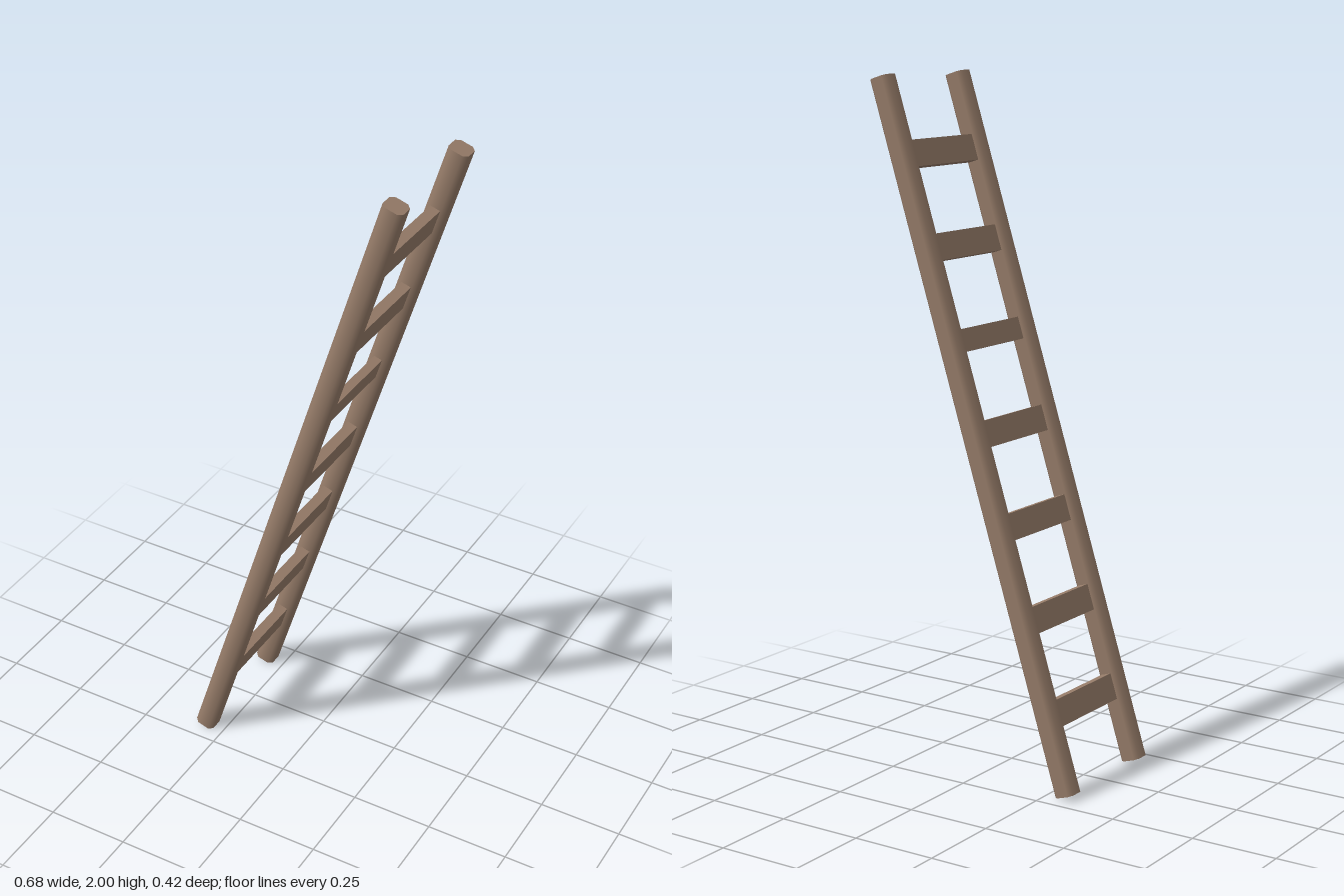
import * as THREE from 'three';

const LEAN = 0.305;      // tilt towards +x
const LENGTH = 2.077;
const RAIL_Z = 0.181;

// Pole with a square section whose corners are bevelled, smooth along its sides
function railGeometry() {
  const geo = new THREE.CylinderGeometry(1, 1, LENGTH, 8, 1, false, Math.PI / 8);
  const pos = geo.attributes.position;
  const place = (v) => Math.sign(v) * (Math.abs(v) > 0.6 ? 0.0307 : Math.abs(v) > 0.1 ? 0.0183 : 0);
  for (let i = 0; i < pos.count; i++) {
    pos.setX(i, place(pos.getX(i)));
    pos.setZ(i, place(pos.getZ(i)));
  }
  return geo;
}

export function createModel() {
  const wood = new THREE.MeshStandardMaterial({ name: 'brown wood', color: 0x967c69 });
  const model = new THREE.Group();
  model.name = 'ladder';

  const frame = new THREE.Group();
  frame.name = 'leaningFrame';
  frame.position.y = 1;
  frame.rotation.z = -LEAN;
  model.add(frame);

  // Side rails
  const rail = railGeometry();
  for (const side of [1, -1]) {
    const mesh = new THREE.Mesh(rail, wood);
    mesh.name = side > 0 ? 'frontRail' : 'backRail';
    mesh.position.z = side * RAIL_Z;
    frame.add(mesh);
  }

  // Flat rungs, the fifth one a little slimmer
  for (let i = 0; i < 7; i++) {
    const slim = i === 4;
    const geo = new THREE.BoxGeometry(slim ? 0.026 : 0.031, slim ? 0.065 : 0.077, 0.33);
    const mesh = new THREE.Mesh(geo, wood);
    mesh.name = `rung${i + 1}`;
    mesh.position.y = (i - 3) * 0.271;
    frame.add(mesh);
  }
  return model;
}
